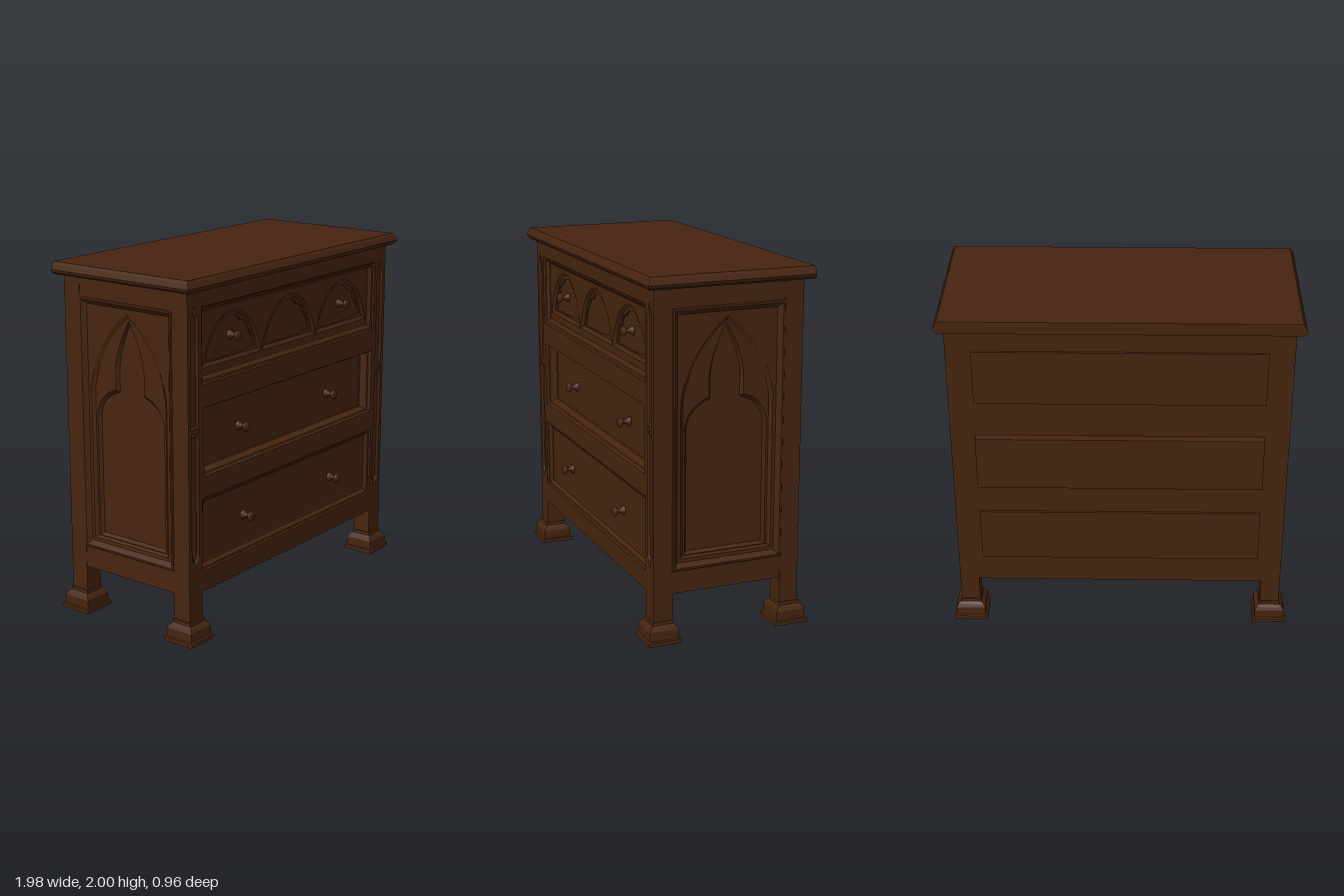
import * as THREE from 'three';

const wood = new THREE.MeshStandardMaterial({ color: 0x47250f });
wood.name = 'dark wood';

function add(parent, name, geometry, x = 0, y = 0, z = 0) {
  const mesh = new THREE.Mesh(geometry, wood);
  mesh.name = name;
  mesh.position.set(x, y, z);
  parent.add(mesh);
  return mesh;
}

// Box given by its limits on each axis
function block(parent, name, x0, x1, y0, y1, z0, z1) {
  return add(parent, name, new THREE.BoxGeometry(x1 - x0, y1 - y0, z1 - z0),
    (x0 + x1) / 2, (y0 + y1) / 2, (z0 + z1) / 2);
}

// Anticlockwise rectangle
const rect = (x0, x1, y0, y1) => [[x0, y0], [x1, y0], [x1, y1], [x0, y1]];

// Symmetric outline from its right half; a segment is a point [x, y] or a curve [cx, cy, x, y]
function outline(...segments) {
  const half = [];
  for (const s of segments) {
    if (s.length === 2) { half.push(s); continue; }
    const [px, py] = half[half.length - 1];
    const curve = new THREE.QuadraticBezierCurve(
      new THREE.Vector2(px, py), new THREE.Vector2(s[0], s[1]), new THREE.Vector2(s[2], s[3]));
    curve.getPoints(10).slice(1).forEach((p) => half.push([p.x, p.y]));
  }
  return half.concat(half.slice(0, -1).reverse().map(([x, y]) => [-x, y]));
}

const pointedArch = (w, base, spring, apex) =>
  outline([w, base], [w, spring], [w * 0.85, spring + (apex - spring) * 0.62, 0, apex]);

// Skin between matching outlines, each at its own z
function loft(levels) {
  const pos = [];
  for (let i = 0; i + 1 < levels.length; i++) {
    const [lo, z0] = levels[i], [hi, z1] = levels[i + 1];
    for (let j = 0; j < lo.length; j++) {
      const k = (j + 1) % lo.length;
      const a = [...lo[j], z0], b = [...lo[k], z0], c = [...hi[k], z1], d = [...hi[j], z1];
      pos.push(...a, ...b, ...c, ...a, ...c, ...d);
    }
  }
  const g = new THREE.BufferGeometry();
  g.setAttribute('position', new THREE.Float32BufferAttribute(pos, 3));
  g.computeVertexNormals();
  return g;
}

// Flat plate with cut-outs
function plate(points, holes, depth) {
  const vec = (list) => list.map(([x, y]) => new THREE.Vector2(x, y));
  const shape = new THREE.Shape(vec(points));
  holes.forEach((h) => shape.holes.push(new THREE.Path(vec(h))));
  return new THREE.ExtrudeGeometry(shape, { depth, bevelEnabled: false });
}

// Stepped moulding running inwards round a rectangular opening
function moulding(x, y0, y1, width, z0, z1) {
  const at = (t) => rect(-x + width * t, x - width * t, y0 + width * t, y1 - width * t);
  const z = (t) => z0 + (z1 - z0) * t;
  return loft([[at(0), z0], [at(0.15), z(0.25)], [at(0.4), z(0.3)], [at(0.8), z(0.8)], [at(0.8), z(0.9)], [at(1), z1]]);
}

const knobGeometry = new THREE.LatheGeometry(
  [[0.027, 0], [0.027, 0.008], [0.018, 0.018], [0.011, 0.026], [0.012, 0.04], [0.026, 0.05], [0.029, 0.058], [0.023, 0.067], [0, 0.07]]
    .map(([r, y]) => new THREE.Vector2(r, y)), 20);
knobGeometry.rotateX(Math.PI / 2);

function buildSide(group) {
  // Local z points outwards
  block(group, 'upperSideRail', -0.325, 0.325, 1.82, 1.93, 0.86, 0.938);
  block(group, 'lowerSideRail', -0.325, 0.325, 0.27, 0.4, 0.86, 0.938);
  add(group, 'sideMoulding', loft([
    [rect(-0.325, 0.325, 0.395, 1.825), 0.938], [rect(-0.32, 0.32, 0.4, 1.82), 0.945],
    [rect(-0.31, 0.31, 0.41, 1.81), 0.945], [rect(-0.285, 0.285, 0.435, 1.785), 0.918]]));
  const outer = pointedArch(0.268, 0.455, 1.32, 1.765);
  const inner = pointedArch(0.25, 0.465, 1.31, 1.735);
  add(group, 'sidePanel', plate(rect(-0.29, 0.29, 0.43, 1.79), [outer], 0.03), 0, 0, 0.89);
  add(group, 'sideArchMoulding', loft([[outer, 0.92], [inner, 0.906]]));
  const cusped = (d) => outline([0.238 - d, 0.47 + d], [0.238 - d, 1.17],
    [0.225 - d, 1.29 - d, 0.1 - d, 1.33 - d], [0.1 - d, 1.45], [0.085 - d, 1.58, 0, 1.72 - d]);
  add(group, 'sideTracery', plate(outer, [cusped(0)], 0.02), 0, 0, 0.886);
  add(group, 'sideTraceryMoulding', loft([[cusped(0), 0.906], [cusped(0.014), 0.888]]));
}

export function createModel() {
  const model = new THREE.Group();
  model.name = 'chestOfDrawers';

  block(model, 'carcass', -0.888, 0.888, 0.27, 1.93, -0.43, 0.34);

  // Table top with moulded front and ends, flat at the back
  const slab = (x, f, b = -0.478) => rect(-x, x, -f, -b);
  const top = add(model, 'top', loft([
    [slab(0, 0, 0), 1.93], [slab(0.965, 0.455), 1.93], [slab(0.985, 0.472), 1.943], [slab(0.99, 0.478), 1.958],
    [slab(0.978, 0.465), 1.985], [slab(0.967, 0.455), 2], [slab(0, 0, 0), 2]]));
  top.rotation.x = -Math.PI / 2;

  // Posts and flared feet
  const sq = (h) => rect(-h, h, -h, h);
  const footGeometry = loft([[sq(0), 0], [sq(0.097), 0], [sq(0.097), 0.022], [sq(0.085), 0.025], [sq(0.085), 0.075],
    [sq(0.075), 0.092], [sq(0.062), 0.105], [sq(0.06), 0.122], [sq(0.05), 0.124]]);
  footGeometry.rotateX(-Math.PI / 2);
  const slot = [[0, 0.42], [0.012, 0.455], [0.031, 0.475], [0.031, 1.79], [0.012, 1.815], [0, 1.86],
    [-0.012, 1.815], [-0.031, 1.79], [-0.031, 0.475], [-0.012, 0.455]];
  const slim = slot.map(([x, y]) => [x * 0.6, 1.14 + (y - 1.14) * 0.985]);
  for (const s of [-1, 1]) {
    const x = s * 0.885;
    for (const z of [-0.375, 0.375]) {
      const front = z > 0;
      block(model, front ? 'frontPost' : 'backPost', x - 0.055, x + 0.055, 0.1, 1.93, z - 0.055, z + (front ? 0.043 : 0.055));
      add(model, 'foot', footGeometry, x, 0, z * 1.01);
    }
    // Pointed flute and rosette on each front post
    add(model, 'postFace', plate(rect(-0.055, 0.055, 0.11, 1.93), [slot], 0.012), x, 0, 0.418);
    add(model, 'postFlute', loft([[slot, 0.43], [slim, 0.419]]), x, 0, 0);
    const rosette = new THREE.Group();
    rosette.name = 'rosette';
    rosette.position.set(x, 1.18, 0.42);
    model.add(rosette);
    const petal = new THREE.SphereGeometry(0.014, 10, 8).scale(1, 1, 0.7);
    add(rosette, 'rosetteCentre', petal);
    for (let i = 0; i < 6; i++) {
      const a = i * Math.PI / 3;
      add(rosette, 'rosettePetal', petal, 0.021 * Math.cos(a), 0.021 * Math.sin(a), 0);
    }
    const side = new THREE.Group();
    side.name = s > 0 ? 'leftSide' : 'rightSide';
    side.rotation.y = s * Math.PI / 2;
    buildSide(side);
    model.add(side);
  }

  // Drawers: box limits, opening, face depth, back and knob position
  const drawers = [
    { name: 'topDrawer', y: [1.48, 1.8], open: [0.825, 1.425, 1.84], face: 0.395, back: -0.445, knob: [0.52, 1.635, 0.375] },
    { name: 'middleDrawer', y: [0.95, 1.27], open: [0.81, 0.92, 1.3], face: 0.36, back: -0.478, knob: [0.425, 1.105, 0.36] },
    { name: 'bottomDrawer', y: [0.44, 0.76], open: [0.825, 0.385, 0.8], face: 0.395, back: -0.445, knob: [0.425, 0.593, 0.395] },
  ];
  add(model, 'frontFrame', plate(rect(-0.835, 0.835, 0.27, 1.93),
    drawers.map(({ open: [x, a, b] }) => rect(-x, x, a, b)), 0.095), 0, 0, 0.335);

  for (const d of drawers) {
    const drawer = new THREE.Group();
    drawer.name = d.name;
    model.add(drawer);
    const isTop = d.name === 'topDrawer';
    block(drawer, 'drawerBox', -0.8, 0.8, d.y[0], d.y[1], d.back, isTop ? 0.365 : d.face);
    const [x, a, b] = d.open;
    add(drawer, 'drawerMoulding', moulding(x, a, b, isTop ? 0.045 : d.name === 'middleDrawer' ? 0.03 : 0.042, 0.428, d.face - 0.002));
    // Skirt filling the gap between moulding and drawer face
    if (!isTop) block(drawer, 'drawerFace', -0.805, 0.805, a + 0.01, b - 0.01, 0.3, d.face - 0.001);
    for (const s of [-1, 1]) add(drawer, 'knob', knobGeometry, s * d.knob[0], d.knob[1], d.knob[2]);
    if (!isTop) continue;

    // Three pointed blind arches with cusped tracery
    const move = (pts, dx) => pts.map(([px, py]) => [px + dx, py]);
    const outer = outline([0.257, 1.5], [0.2, 1.74, 0, 1.785]);
    const inner = outline([0.235, 1.518], [0.185, 1.725, 0, 1.762]);
    const cusped = outline([0.21, 1.525], [0.2, 1.62, 0.15, 1.645], [0.15, 1.695, 0.085, 1.7], [0.07, 1.735, 0, 1.745]);
    const centres = [-0.52, 0, 0.52];
    add(drawer, 'archedFace', plate(rect(-0.8, 0.8, 1.45, 1.815), centres.map((c) => move(outer, c)), 0.035), 0, 0, 0.36);
    for (const c of centres) {
      add(drawer, 'archMoulding', loft([[outer, 0.395], [inner, 0.381]]), c);
      add(drawer, 'archTracery', plate(outer, [cusped], 0.016), c, 0, 0.365);
      add(drawer, 'archPanel', plate(inner, [], 0.01), c, 0, 0.36);
    }
  }
  return model;
}
